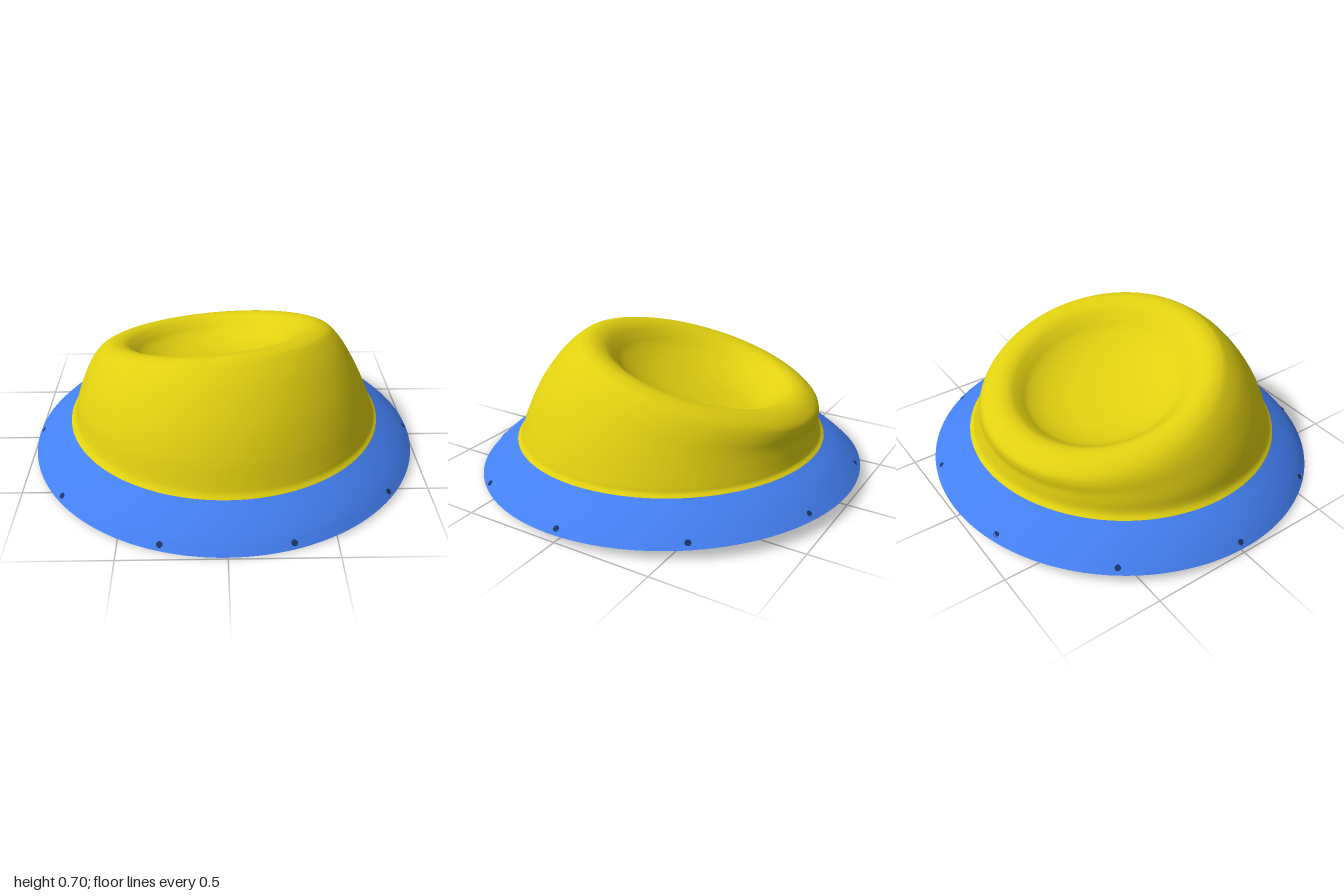
import * as THREE from 'three';

const SEG = 128;

// Smooth skin through tilted circles [cx, cz, radius, height, slopeX, slopeZ];
// height is at the circle's centre, slopes tilt its plane.
function loft(rings, steps) {
  const curve = (k) => new THREE.CatmullRomCurve3(
    rings.map((r) => new THREE.Vector3(r[k], r[k + 1], r[k + 2])), false, 'catmullrom', 0.5);
  const place = curve(0), tilt = curve(3);
  const n = (rings.length - 1) * steps;
  const pos = [], idx = [];
  for (let i = 0; i <= n; i++) {
    const p = place.getPoint(i / n), q = tilt.getPoint(i / n);
    for (let j = 0; j < SEG; j++) {
      const t = (j / SEG) * Math.PI * 2;
      const dx = p.z * Math.sin(t), dz = p.z * Math.cos(t);
      pos.push(p.x + dx, q.x + q.y * dx + q.z * dz, p.y + dz);
      if (i === n) continue;
      const a = i * SEG + j, b = i * SEG + (j + 1) % SEG;
      idx.push(a, b, b + SEG, a, b + SEG, a + SEG);
    }
  }
  const g = new THREE.BufferGeometry();
  g.setAttribute('position', new THREE.Float32BufferAttribute(pos, 3));
  g.setIndex(idx);
  g.computeVertexNormals();
  return g;
}

export function createModel() {
  const group = new THREE.Group();
  const blue = new THREE.MeshStandardMaterial({ color: 0x4480f4 });
  const yellow = new THREE.MeshStandardMaterial({ color: 0xe0d010 });
  const dark = new THREE.MeshStandardMaterial({ color: 0x1c3564 });
  const add = (name, geometry, material, parent = group) => {
    const mesh = new THREE.Mesh(geometry, material);
    mesh.name = name;
    parent.add(mesh);
    return mesh;
  };

  // Sloping skirt and its flat underside
  add('skirt', loft([
    [0, -0.005, 0.997, 0.031, 0.005, -0.03],
    [0, 0, 0.945, 0.083, 0.004, -0.028],
    [0, 0, 0.88, 0.136, 0.003, -0.024],
    [0, 0, 0.805, 0.187, 0.003, -0.018],
  ], 5), blue);
  add('underside', loft([
    [0, -0.005, 0, 0.031, 0.005, -0.03],
    [0, -0.005, 0.997, 0.031, 0.005, -0.03],
  ], 2), blue);

  // Body: fillet, bulging wall, tilted rounded rim and hollow dish
  const rim = (r, drop) => [-0.045, -0.14, r, 0.565 - drop, 0.09, 0.24];
  add('body', loft([
    [0, 0, 0.805, 0.187, 0.003, -0.018],
    [0, 0, 0.788, 0.203, 0.003, -0.015],
    [0, -0.003, 0.777, 0.23, 0.006, -0.005],
    [-0.01, -0.02, 0.752, 0.305, 0.02, 0.05],
    [-0.022, -0.05, 0.714, 0.39, 0.045, 0.115],
    [-0.035, -0.1, 0.665, 0.474, 0.07, 0.19],
    rim(0.615, 0.036),
    rim(0.572, 0.009),
    rim(0.525, 0),
    rim(0.475, 0.012),
    rim(0.43, 0.046),
    rim(0.385, 0.087),
    rim(0.31, 0.128),
    rim(0.21, 0.158),
    rim(0.1, 0.172),
    rim(0, 0.175),
  ], 5), yellow);

  // Ten small fixing holes near the skirt's lower edge
  for (let i = 0; i < 10; i++) {
    const t = 0.31 + (i / 10) * Math.PI * 2;
    const x = 0.975 * Math.sin(t), z = 0.975 * Math.cos(t);
    const hole = new THREE.Group();
    hole.name = 'fixingHole';
    hole.position.set(x, 0.054 + 0.005 * x - 0.03 * z, z);
    hole.rotation.set(-Math.PI / 4, t, 0, 'YXZ');
    add('holeEdge', new THREE.TorusGeometry(0.013, 0.002, 6, 20), dark, hole);
    add('holeFace', new THREE.CircleGeometry(0.013, 20), dark, hole).position.z = 0.001;
    group.add(hole);
  }
  return group;
}
